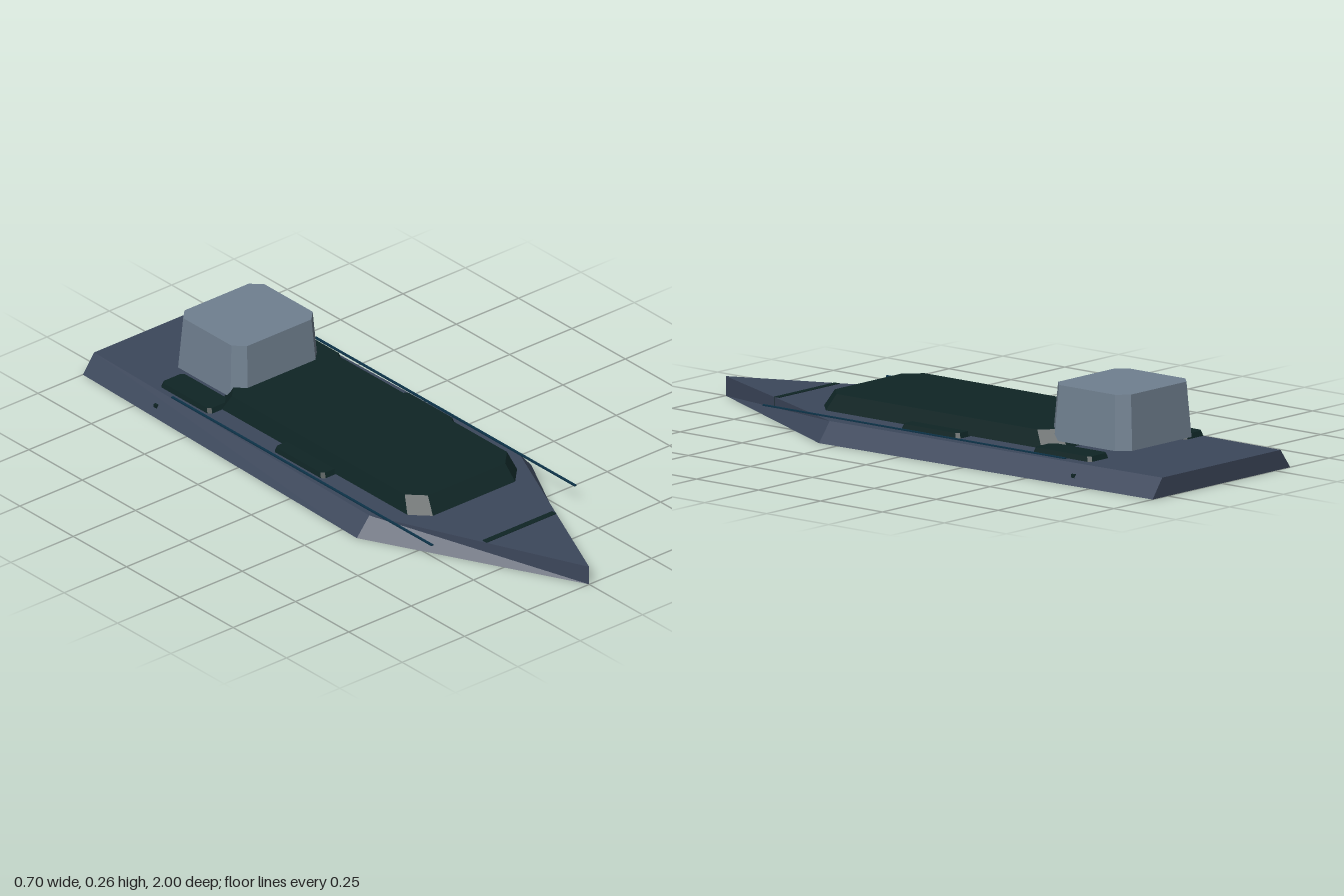
import * as THREE from 'three';

const flat = (name, color, side = THREE.FrontSide) => {
  const m = new THREE.MeshStandardMaterial({ color, side });
  m.name = name;
  return m;
};

// Joins two matching rings of [x, z] points (counterclockwise from above) with flat faces
function loft(lower, y0, upper, y1, closedBottom = true) {
  const b = lower.map(([x, z]) => [x, y0, z]);
  const t = upper.map(([x, z]) => [x, y1, z]);
  const n = b.length, pos = [];
  const tri = (...p) => p.forEach((v) => pos.push(...v));
  for (let i = 0; i < n; i++) {
    const j = (i + 1) % n;
    // mirrored diagonals keep the two sides symmetric
    if (b[i][0] + b[j][0] >= 0) {
      tri(b[i], b[j], t[j]);
      tri(b[i], t[j], t[i]);
    } else {
      tri(b[i], b[j], t[i]);
      tri(b[j], t[j], t[i]);
    }
  }
  for (let i = 1; i < n - 1; i++) {
    tri(t[0], t[i], t[i + 1]);
    if (closedBottom) tri(b[0], b[i + 1], b[i]);
  }
  const g = new THREE.BufferGeometry();
  g.setAttribute('position', new THREE.Float32BufferAttribute(pos, 3));
  g.computeVertexNormals();
  return g;
}

// Rectangle with cut corners: half width w, half depth d, cut c
const octagon = (w, d, c) => [
  [w, d - c], [w, c - d], [w - c, -d], [c - w, -d],
  [-w, c - d], [-w, d - c], [c - w, d], [w - c, d],
];

// Pointed hull outline
const hullRing = (shoulder, stern) => [
  [0, 1], [shoulder, 0.32], [stern, -1], [-stern, -1], [-shoulder, 0.32],
];

export function createModel() {
  const model = new THREE.Group();
  model.name = 'ship';
  const hullMat = flat('hullBlueGrey', 0x3c475b, THREE.DoubleSide);
  const greenMat = flat('darkGreen', 0x0f2525);
  const towerMat = flat('slateGrey', 0x708090);
  const railMat = flat('railBlue', 0x0d3349);

  const add = (name, geometry, material, x = 0, y = 0, z = 0) => {
    const mesh = new THREE.Mesh(geometry, material);
    mesh.name = name;
    mesh.position.set(x, y, z);
    model.add(mesh);
    return mesh;
  };

  // Hull shell, open underneath
  add('hull', loft(hullRing(0.35, 0.32), 0, hullRing(0.3, 0.275), 0.061, false), hullMat);

  // Long deckhouse with sloping sides
  add('deckhouse', loft(octagon(0.22, 0.49, 0.055), 0.07, octagon(0.205, 0.455, 0.05), 0.123),
    greenMat, 0, 0, -0.03);

  // Tower at the stern
  add('tower', loft(octagon(0.175, 0.16, 0.037), 0.09, octagon(0.163, 0.147, 0.034), 0.262),
    towerMat, 0, 0, -0.6);

  // Breakwater set into the foredeck
  add('breakwater', new THREE.BoxGeometry(0.28, 0.03, 0.02), greenMat, 0, 0.0475, 0.673);

  for (const [side, s] of [['left', 1], ['right', -1]]) {
    // Low side platforms
    for (const [name, z] of [['AftPlatform', -0.585], ['MidPlatform', -0.053]]) {
      add(side + name, loft(octagon(0.047, 0.118, 0.01), 0.067, octagon(0.043, 0.112, 0.01), 0.083),
        greenMat, s * 0.221, 0, z);
    }
    // Deck-edge rails
    add(side + 'Rail', new THREE.BoxGeometry(0.008, 0.004, 1.22), railMat, s * 0.287, 0.071, -0.01);
    // Small fittings in the hull sides
    add(side + 'Fitting', new THREE.BoxGeometry(0.02, 0.02, 0.014), greenMat, s * 0.302, 0.022, -0.67);
  }
  return model;
}
